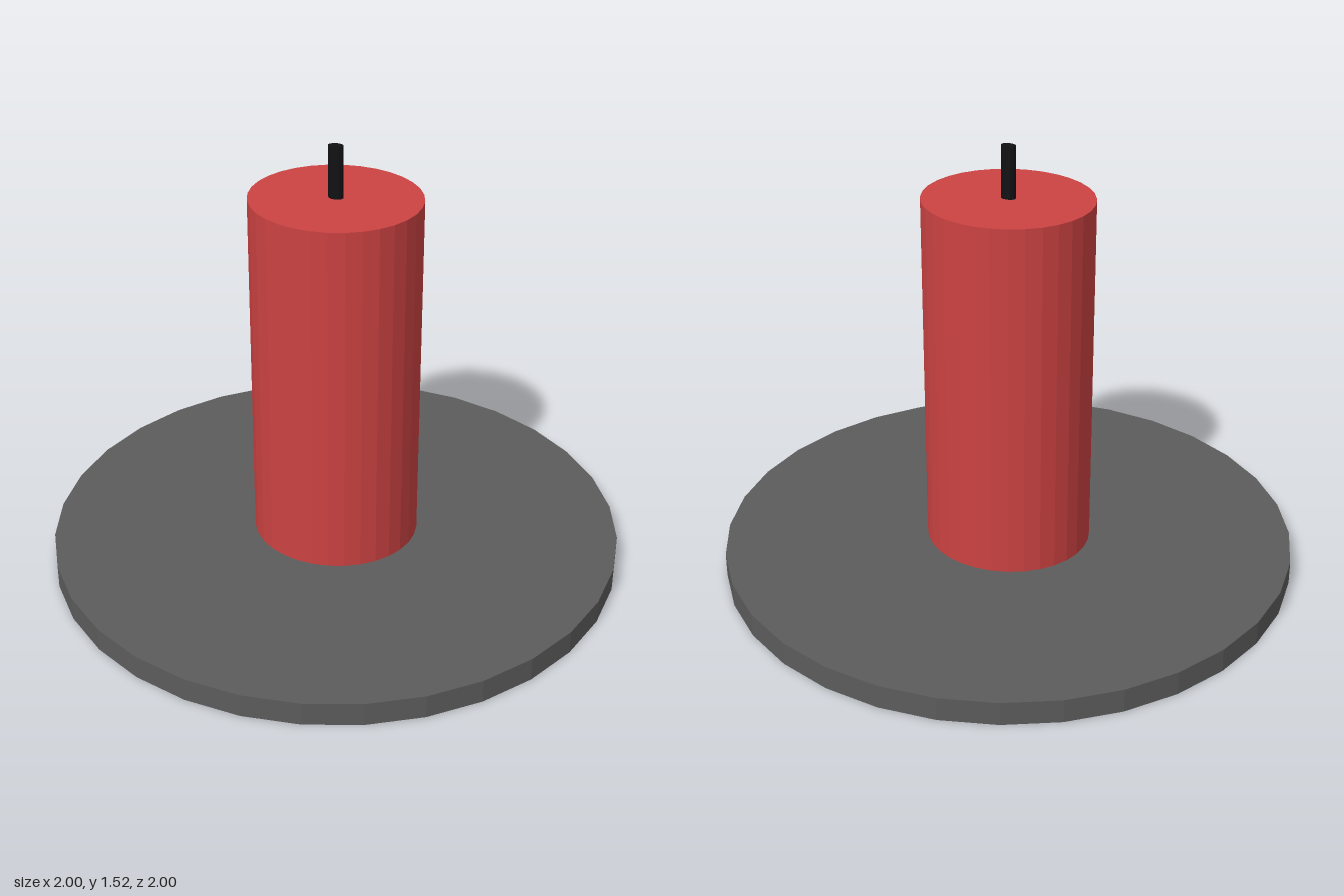
import * as THREE from 'three';

// Upright faceted cylinder with an elliptical section, standing between y0 and y1
function column(name, rx, rz, y0, y1, sides, color) {
  const geometry = new THREE.CylinderGeometry(1, 1, y1 - y0, sides);
  geometry.scale(rx, 1, rz);
  geometry.translate(0, (y0 + y1) / 2, 0);
  const mesh = new THREE.Mesh(
    geometry,
    new THREE.MeshStandardMaterial({ color, flatShading: true })
  );
  mesh.name = name;
  return mesh;
}

export function createModel() {
  const group = new THREE.Group();
  group.name = 'candleOnPlate';
  group.add(
    column('plate', 1, 1, 0, 0.083, 32, 0x5c5c5c),
    column('candle', 0.29, 0.276, 0.083, 1.343, 32, 0xcc4242), // slightly oval body
    column('wick', 0.026, 0.018, 1.343, 1.523, 12, 0x111114)
  );
  return group;
}
